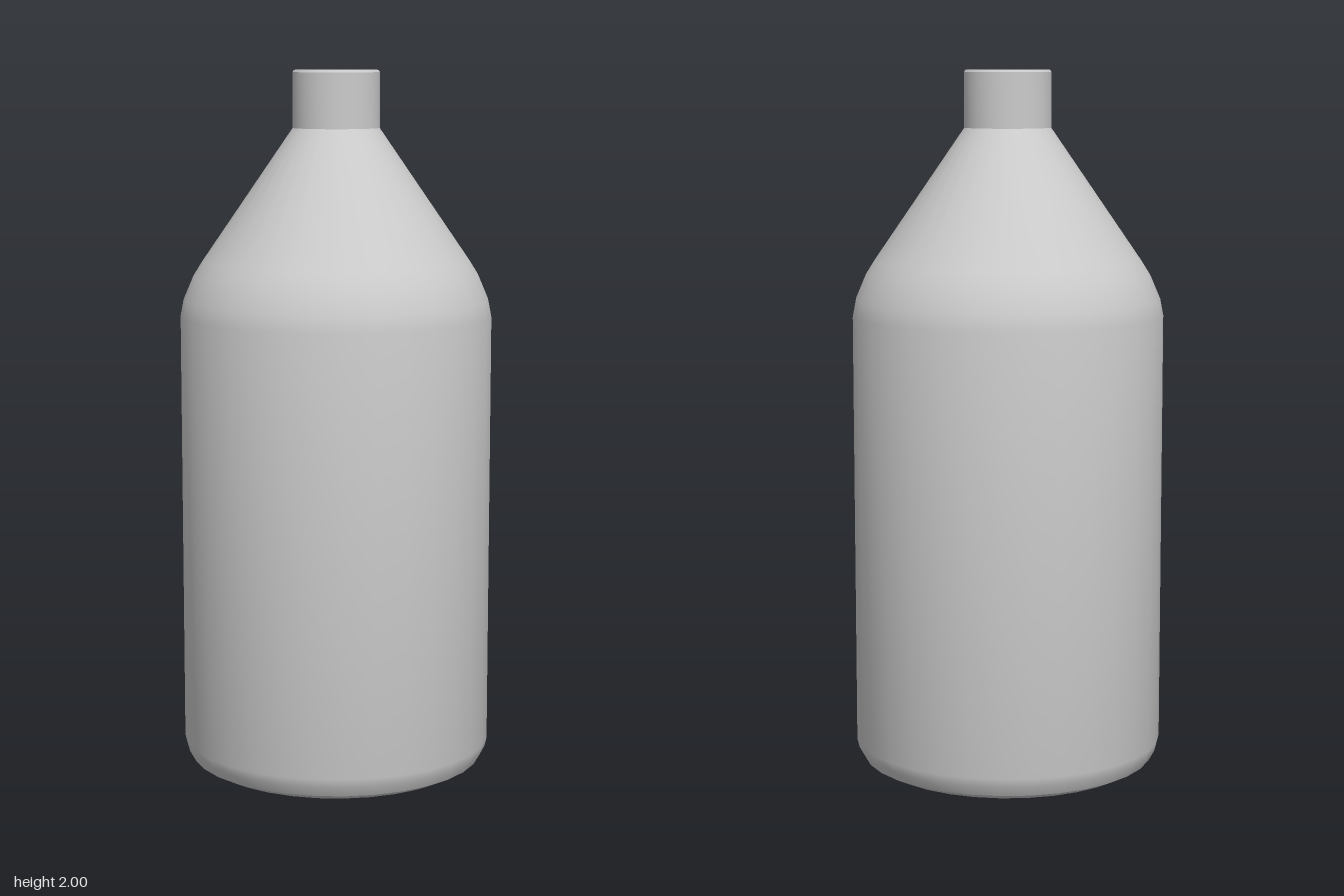
import * as THREE from 'three';
import { toCreasedNormals } from 'three/addons/utils/BufferGeometryUtils.js';

const material = new THREE.MeshStandardMaterial({ color: 0xcccccc });

// Turned part from [radius, height] pairs, listed from the bottom axis up
function turned(name, profile, sides, crease) {
  const points = profile.map(([r, y]) => new THREE.Vector2(r, y));
  const geometry = toCreasedNormals(new THREE.LatheGeometry(points, sides), crease);
  const mesh = new THREE.Mesh(geometry, material);
  mesh.name = name;
  return mesh;
}

export function createModel() {
  const bottle = new THREE.Group();
  bottle.name = 'bottle';

  // Body: shallow hollow base, bevelled foot, straight wall, rounded shoulder, cone
  bottle.add(turned('body', [
    [0, 0.02], [0.2, 0.016], [0.38, 0],
    [0.42, 0.02], [0.437, 0.05], [0.443, 0.075],
    [0.443, 1.31], [0.434, 1.357], [0.405, 1.425], [0.38, 1.465],
    [0.122, 1.84], [0, 1.84],
  ], 32, 0.5));

  // Cap: plain cylinder with a fine bevel at the top rim
  bottle.add(turned('cap', [
    [0, 1.839], [0.123, 1.839], [0.123, 1.994], [0.119, 2], [0, 2],
  ], 64, 0.5));

  return bottle;
}
